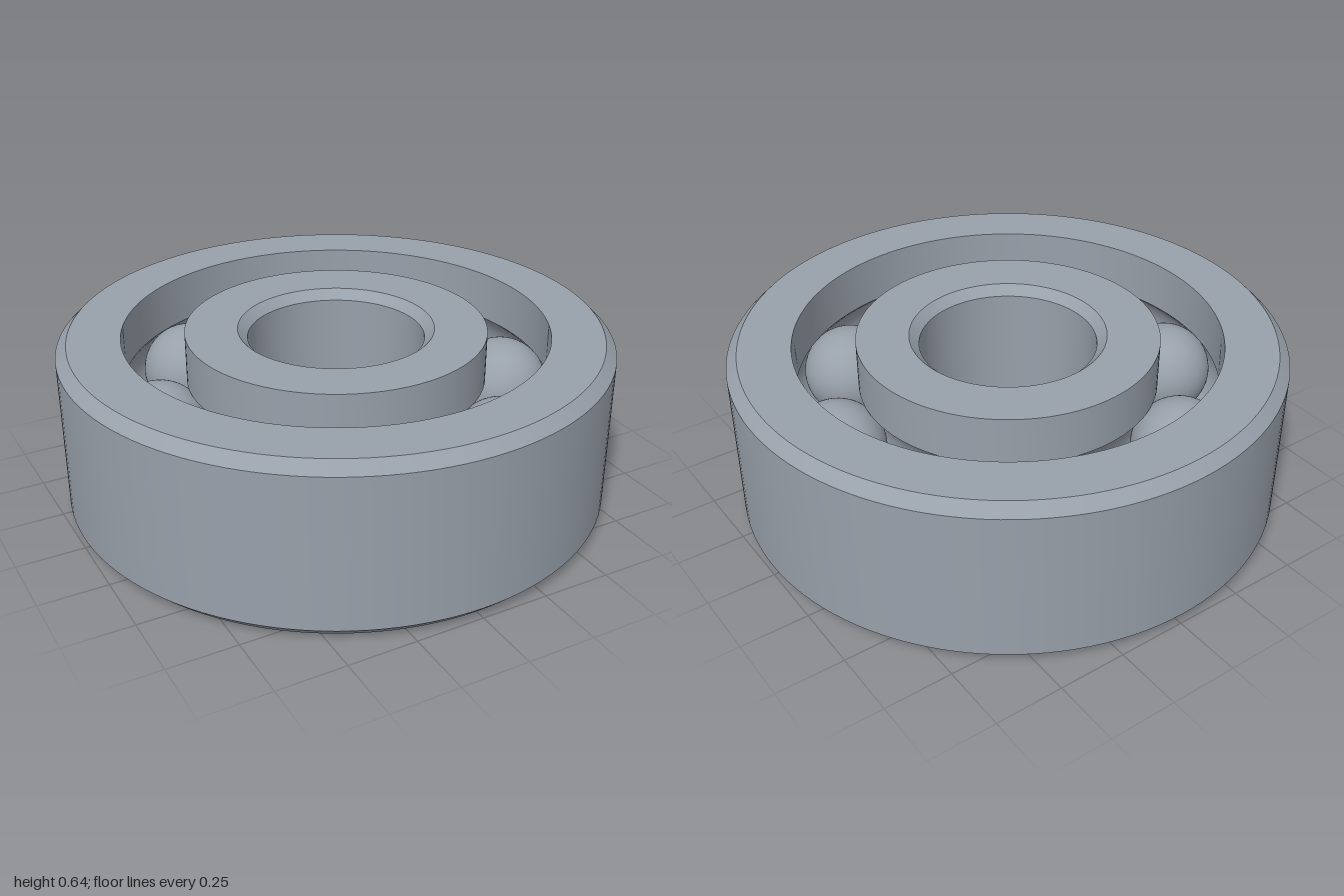
import * as THREE from 'three';
import { toCreasedNormals } from 'three/addons/utils/BufferGeometryUtils.js';

const HEIGHT = 0.64, MID = HEIGHT / 2;
const OUTER_R = 1, OUTER_BORE = 0.77;
const INNER_R = 0.545, INNER_BORE = 0.32;
const CHAMFER = 0.04, BORE_CHAMFER = 0.035;
const PITCH = (OUTER_BORE + INNER_R) / 2;
const BALL_R = 0.175, GROOVE_R = 0.176, BALLS = 8;

// Arc of the raceway groove in the (radius, height) plane
function groove(from, to, steps = 16) {
  return Array.from({ length: steps + 1 }, (_, i) => {
    const a = from + (to - from) * i / steps;
    return [PITCH + GROOVE_R * Math.cos(a), MID + GROOVE_R * Math.sin(a)];
  });
}

// Closed profile turned around the y axis, with sharp machined edges
function ring(name, profile, material) {
  const points = [...profile, profile[0]].map(([r, y]) => new THREE.Vector2(r, y));
  const geometry = toCreasedNormals(new THREE.LatheGeometry(points, 128), 0.5);
  const mesh = new THREE.Mesh(geometry, material);
  mesh.name = name;
  return mesh;
}

export function createModel() {
  const model = new THREE.Group();
  model.name = 'ballBearing';
  const steel = new THREE.MeshStandardMaterial({ color: 0x98a0aa });
  steel.name = 'steel';

  // Half-angle at which the groove meets the ring wall
  const a = Math.acos((OUTER_BORE - PITCH) / GROOVE_R);

  // Outer ring: chamfered outside, grooved inside
  model.add(ring('outerRing', [
    [OUTER_R - CHAMFER, 0], [OUTER_R, CHAMFER],
    [OUTER_R, HEIGHT - CHAMFER], [OUTER_R - CHAMFER, HEIGHT],
    [OUTER_BORE, HEIGHT], ...groove(a, -a), [OUTER_BORE, 0],
  ], steel));

  // Inner ring: grooved outside, chamfered bore
  model.add(ring('innerRing', [
    [INNER_R, 0], ...groove(Math.PI + a, Math.PI - a), [INNER_R, HEIGHT],
    [INNER_BORE + BORE_CHAMFER, HEIGHT], [INNER_BORE, HEIGHT - BORE_CHAMFER],
    [INNER_BORE, BORE_CHAMFER], [INNER_BORE + BORE_CHAMFER, 0],
  ], steel));

  // Balls spaced evenly between the races
  const balls = new THREE.Group();
  balls.name = 'balls';
  const ballGeometry = new THREE.SphereGeometry(BALL_R, 48, 32);
  for (let i = 0; i < BALLS; i++) {
    const angle = THREE.MathUtils.degToRad(12) + i * Math.PI * 2 / BALLS;
    const ball = new THREE.Mesh(ballGeometry, steel);
    ball.name = 'ball';
    ball.position.set(PITCH * Math.cos(angle), MID, PITCH * Math.sin(angle));
    balls.add(ball);
  }
  model.add(balls);
  return model;
}
